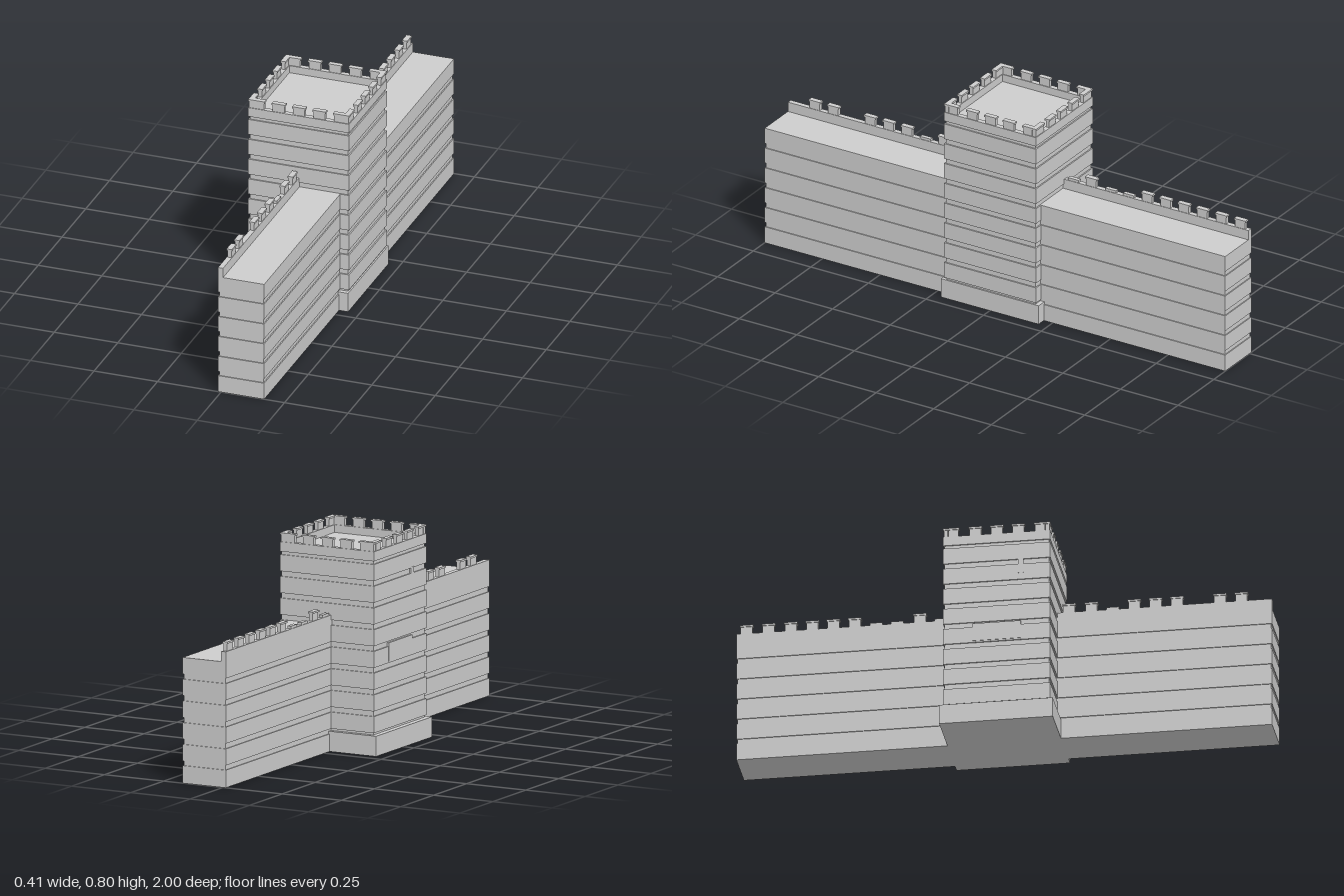
import * as THREE from 'three';

const stone = new THREE.MeshStandardMaterial({ color: 0xcccccc });
stone.name = 'palestone';

// Box given by its limits on each axis
function block(parent, name, x0, x1, y0, y1, z0, z1) {
  const m = new THREE.Mesh(new THREE.BoxGeometry(x1 - x0, y1 - y0, z1 - z0), stone);
  m.position.set((x0 + x1) / 2, (y0 + y1) / 2, (z0 + z1) / 2);
  m.name = name;
  parent.add(m);
  return m;
}

// Projecting stone courses over a slightly recessed core
function courses(parent, name, x0, x1, z0, z1, count, inset) {
  const first = 0.084, pitch = 0.0817, height = 0.062;
  const top = first + (count - 1) * pitch + height;
  block(parent, name + 'Core', x0 + inset, x1 - inset, 0, top, z0 + inset, z1 - inset);
  block(parent, name + 'Footing', x0, x1, 0, 0.066, z0, z1);
  for (let i = 0; i < count; i++) {
    const y = first + i * pitch;
    block(parent, name + 'Course', x0, x1, y, y + height, z0, z1);
  }
  return top;
}

// Merlon with a slightly wider capstone
function merlon(parent, x0, x1, y0, y1, z0, z1) {
  const e = 0.003, cap = 0.007;
  block(parent, 'merlon', x0 + e, x1 - e, y0, y1 - cap, z0 + e, z1 - e);
  block(parent, 'merlonCap', x0, x1, y1 - cap, y1, z0, z1);
}

export function createModel() {
  const model = new THREE.Group();
  model.name = 'castleWallWithTower';

  // Tower shaft
  const tower = new THREE.Group();
  tower.name = 'tower';
  model.add(tower);
  const X0 = -0.192, X1 = 0.205, Z = 0.2;
  courses(tower, 'tower', X0, X1, -Z, Z, 8, 0.005);
  block(tower, 'towerPlinth', -0.208, 0.206, 0, 0.076, -0.212, 0.212);
  block(tower, 'towerNeck', X0 + 0.005, X1 - 0.005, 0.71, 0.73, -Z + 0.005, Z - 0.005);
  block(tower, 'towerRoof', X0 + 0.01, X1 - 0.01, 0.728, 0.737, -Z + 0.01, Z - 0.01);

  // Raised stones on the outer face
  block(tower, 'facingStone', X0 - 0.002, X0 + 0.01, 0.335, 0.405, -0.09, 0.09);
  block(tower, 'narrowStone', X0 - 0.002, X0 + 0.01, 0.6, 0.66, 0.08, 0.1);

  // Tower parapet
  const t = 0.02, P0 = 0.73, P1 = 0.766, top = 0.8;
  for (const s of [-1, 1]) {
    const zA = s > 0 ? Z - t : -Z, zB = zA + t;
    block(tower, 'parapet', X0, X1, P0, P1, zA, zB);
    const xA = s > 0 ? X1 - t : X0;
    block(tower, 'parapet', xA, xA + t, P0, P1, -Z + t, Z - t);
    // Middle merlons on each side
    for (const k of [-1, 0, 1]) {
      const c = k * 0.08;
      merlon(tower, 0.0065 + c - 0.026, 0.0065 + c + 0.026, P1, top, zA, zB);
      merlon(tower, xA, xA + t, P1, top, c - 0.025, c + 0.025);
    }
    // L-shaped corner merlons
    for (const q of [-1, 1]) {
      const c0 = q > 0 ? X1 - 0.064 : X0, c1 = c0 + 0.064;
      merlon(tower, c0, c1, P1, top, zA, zB);
      const cx = q > 0 ? X1 - t : X0;
      const d0 = s > 0 ? Z - 0.06 : -Z + t - 0.003;
      const d1 = s > 0 ? Z - t + 0.003 : -Z + 0.06;
      merlon(tower, cx, cx + t, P1, top, d0, d1);
    }
  }

  // Curtain walls on both sides; some merlons are missing or worn to stubs
  const walls = [
    { name: 'frontWall', z: [0.19, 1],
      full: [0.885, 0.805, 0.645, 0.565, 0.485, 0.325, 0.242], worn: [0.405] },
    { name: 'backWall', z: [-1, -0.19],
      full: [-0.315, -0.558, -0.638, -0.717, -0.797, -0.88, -0.962], worn: [-0.238, -0.4, -0.478] },
  ];
  for (const w of walls) {
    const g = new THREE.Group();
    g.name = w.name;
    model.add(g);
    const walk = courses(g, 'wall', -0.012, 0.17, w.z[0], w.z[1], 5, 0.004);
    block(g, 'wallParapet', -0.012, 0.008, walk - 0.005, 0.511, w.z[0], w.z[1]);
    for (const z of w.full) merlon(g, -0.012, 0.009, 0.511, 0.546, z - 0.025, z + 0.025);
    for (const z of w.worn) block(g, 'wornMerlon', -0.01, 0.006, 0.511, 0.521, z - 0.023, z + 0.023);
  }
  return model;
}
